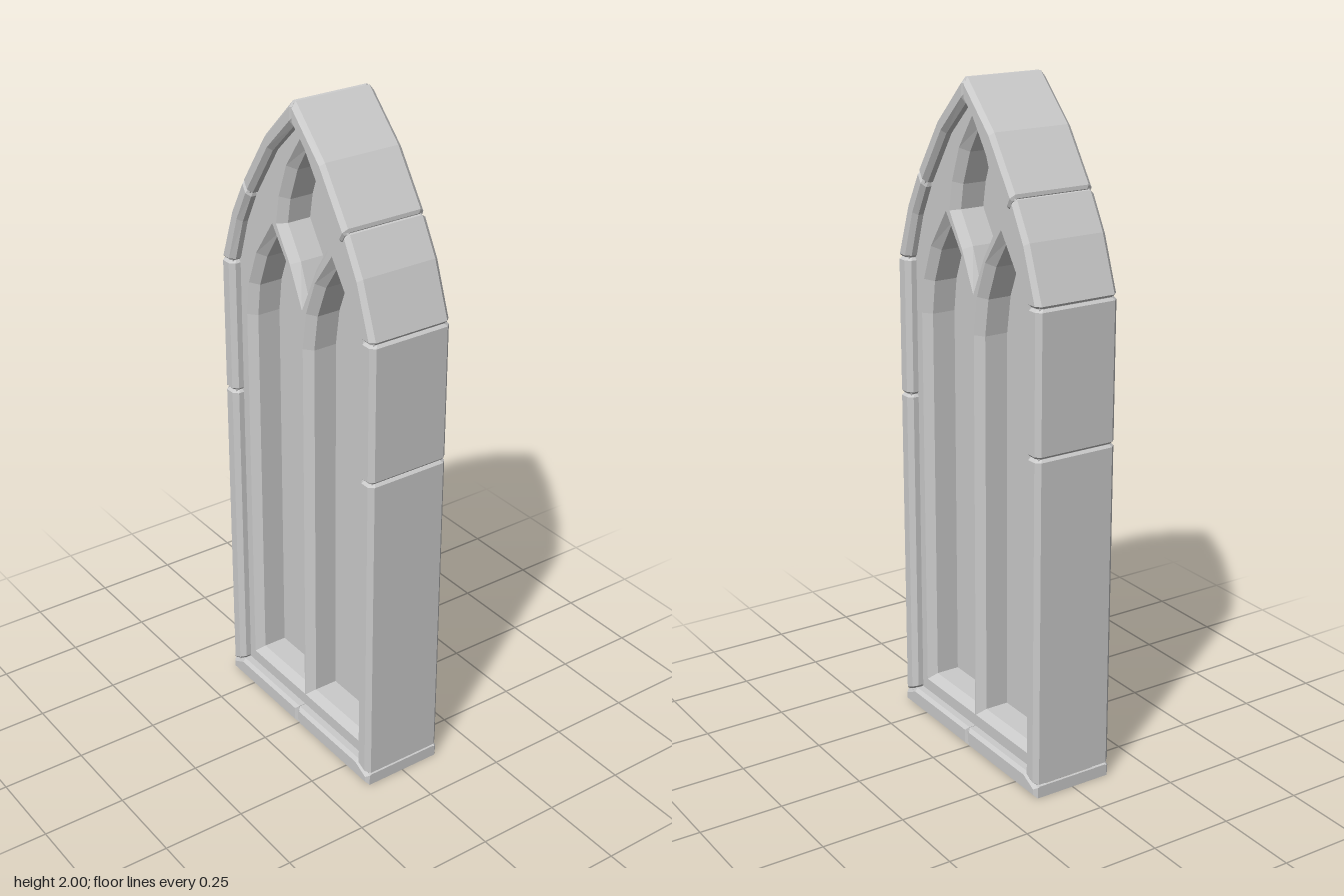
import * as THREE from 'three';

const V = (x, y) => new THREE.Vector2(x, y);
const toPts = (a) => a.map(([x, y]) => V(x, y));
const mirror = (pts) => pts.map((p) => V(-p.x, p.y));

// right half of the pointed arch: outer and inner edge of the stone frame
const OUTER = toPts([[0.363, 0.035], [0.363, 1.025], [0.363, 1.44], [0.302, 1.605], [0.24, 1.715], [0.135, 1.868], [0, 2.002]]);
const INNER = toPts([[0.306, 0.06], [0.306, 1.025], [0.306, 1.44], [0.262, 1.575], [0.213, 1.67], [0.105, 1.83], [0, 1.93]]);

// half outline somewhere between the outer and inner edge
const between = (t) => OUTER.map((p, i) => p.clone().lerp(INNER[i], t));
// complete outline from a right half that ends at the apex
const whole = (half) => [...half, ...mirror(half.slice(0, -1)).reverse()];

// extrusion centred on z, chamfered on front and back, within the drawn outline
function slab(shape, halfDepth, chamfer = 0) {
  const depth = 2 * (halfDepth - chamfer);
  const geo = new THREE.ExtrudeGeometry(shape, {
    depth, bevelEnabled: chamfer > 0, bevelThickness: chamfer,
    bevelSize: chamfer, bevelOffset: -chamfer, bevelSegments: 1,
  });
  return geo.translate(0, 0, -depth / 2);
}

// chamfered cross-section of a stone: position across the frame (0 to 1), z
const SECTION = [
  [0, 0.117], [0.23, 0.131], [0.74, 0.131], [1, 0.117],
  [1, -0.117], [0.74, -0.131], [0.23, -0.131], [0, -0.117],
];

// stone swept between two edge lines, its ends slightly tapered into the joints
function stoneGeometry(outer, inner, side) {
  const last = outer.length - 1;
  const step = (pts, i, j, d) => pts[i].clone().add(pts[j].clone().sub(pts[i]).setLength(d));
  const station = (i, j, d, shrink) => ({ o: step(outer, i, j, d), n: step(inner, i, j, d), shrink });
  const rings = [station(0, 1, 0.001, true), station(0, 1, 0.008, false)];
  for (let i = 1; i < last; i++) rings.push({ o: outer[i], n: inner[i], shrink: false });
  rings.push(station(last, last - 1, 0.008, false), station(last, last - 1, 0.001, true));

  const pos = [];
  const index = [];
  const n = SECTION.length;
  for (const { o, n: inn, shrink } of rings) {
    for (const [t, z] of SECTION) {
      const p = o.clone().lerp(inn, shrink ? 0.5 + (t - 0.5) * 0.78 : t);
      pos.push(side * p.x, p.y, shrink ? z * 0.95 : z);
    }
  }
  const tri = (a, b, c) => index.push(...(side > 0 ? [a, b, c] : [a, c, b]));
  for (let r = 0; r < rings.length - 1; r++) {
    for (let k = 0; k < n; k++) {
      const a = r * n + k, b = r * n + (k + 1) % n;
      tri(a, b, b + n);
      tri(a, b + n, a + n);
    }
  }
  const end = (rings.length - 1) * n;
  for (let k = 1; k < n - 1; k++) {
    tri(0, k + 1, k);
    tri(end, end + k, end + k + 1);
  }
  const geo = new THREE.BufferGeometry();
  geo.setAttribute('position', new THREE.Float32BufferAttribute(pos, 3));
  geo.setIndex(index);
  const flat = geo.toNonIndexed();
  flat.computeVertexNormals();
  return flat;
}

export function createModel() {
  const group = new THREE.Group();
  const stone = new THREE.MeshStandardMaterial({ color: 0xcccccc, flatShading: true, side: THREE.DoubleSide });
  const add = (name, geo) => {
    const mesh = new THREE.Mesh(geo, stone);
    mesh.name = name;
    group.add(mesh);
    return mesh;
  };

  // frame stones: two jamb stones and two arch stones per side
  const stones = [['lowerJamb', 0, 1], ['upperJamb', 1, 2], ['lowerArchStone', 2, 4], ['upperArchStone', 4, 6]];
  for (const [name, a, b] of stones) {
    const outer = OUTER.slice(a, b + 1);
    const inner = INNER.slice(a, b + 1);
    add(name + 'Left', stoneGeometry(outer, inner, 1));
    add(name + 'Right', stoneGeometry(outer, inner, -1));
  }

  // mortar core that closes the joints between the stones
  const coreOut = whole(between(0.16));
  const coreIn = whole(between(0.84));
  add('mortarCore', slab(new THREE.Shape([...coreOut, ...coreIn.reverse()]), 0.12));

  // sill stones along front and back, open underneath between them
  const sill = toPts([[0.001, 0], [0.363, 0], [0.363, 0.034], [0.306, 0.062], [0.001, 0.062]]);
  for (const z of [0.106, -0.106]) {
    const end = z > 0 ? 'front' : 'back';
    add(end + 'SillLeft', slab(new THREE.Shape(sill), 0.025, 0.01)).position.z = z;
    add(end + 'SillRight', slab(new THREE.Shape(mirror(sill)), 0.025, 0.01)).position.z = z;
    add(end + 'SillMortar', new THREE.BoxGeometry(0.66, 0.038, 0.038)).position.set(0, 0.031, z);
  }
  for (const s of [1, -1]) {
    add('sillEnd', new THREE.BoxGeometry(0.008, 0.036, 0.23)).position.set(s * 0.359, 0.018, 0);
  }

  // deep tracery plate with two lancets and a pointed opening above them
  const plateHalf = between(0.25);
  plateHalf[0].y = 0.032;
  const plate = new THREE.Shape(whole(plateHalf));
  const lancet = toPts([
    [0.025, 0.122], [0.255, 0.122], [0.255, 1.28], [0.242, 1.38], [0.203, 1.48],
    [0.14, 1.575], [0.082, 1.49], [0.042, 1.39], [0.025, 1.28],
  ]);
  const eye = toPts([[0, 1.43], [0.036, 1.525], [0.097, 1.617], [0.084, 1.69], [0.048, 1.785], [0, 1.86]]);
  const eyeOutline = [...eye, ...mirror(eye.slice(1, -1)).reverse()];
  plate.holes.push(new THREE.Path(lancet), new THREE.Path(mirror(lancet)), new THREE.Path(eyeOutline));
  add('tracery', slab(plate, 0.1, 0.023));

  // thin panel that fills the openings
  add('panel', slab(new THREE.Shape(whole(between(0.5))), 0.004));

  return group;
}
